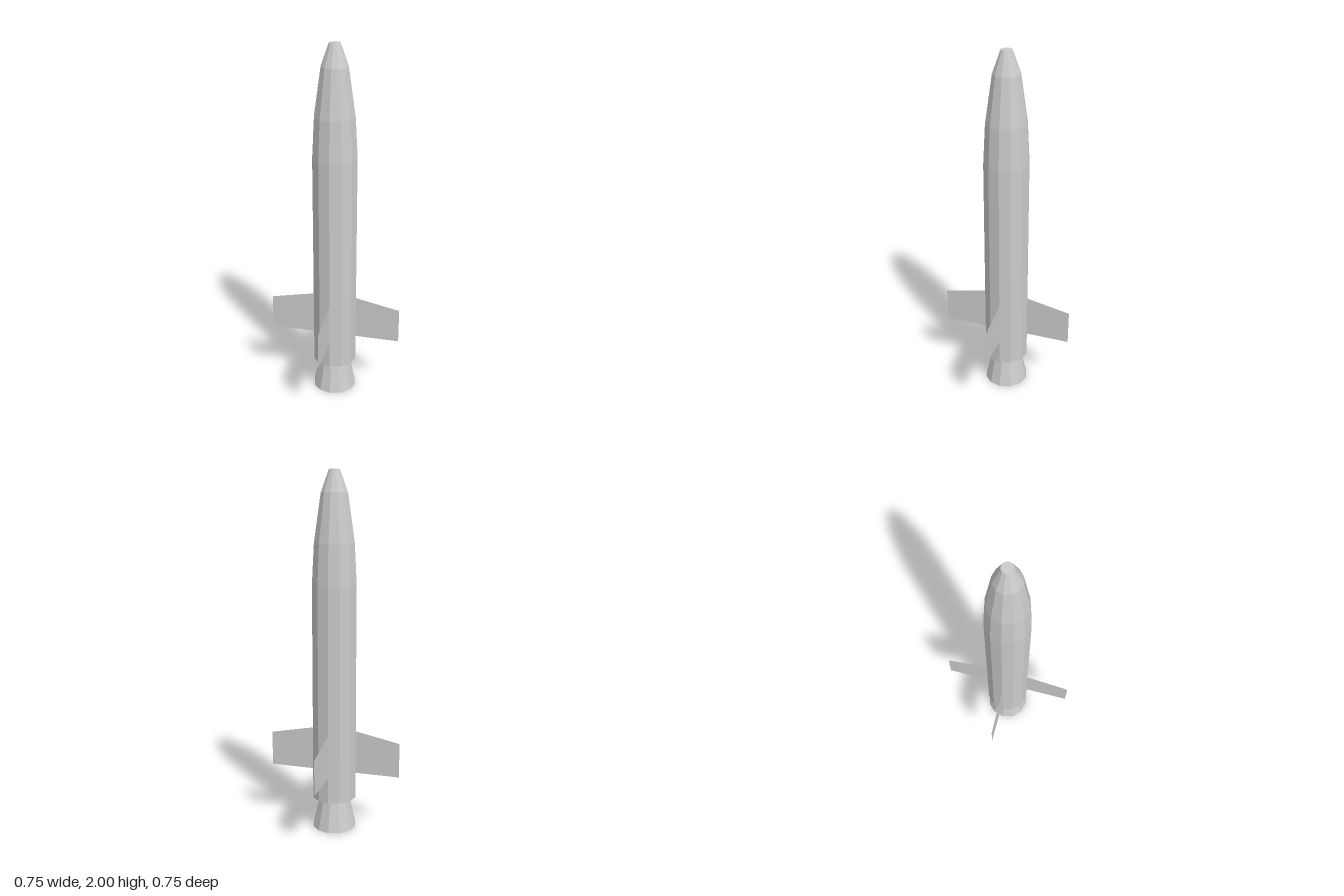
import * as THREE from 'three';

const SIDES = 12;
const BODY_RADIUS = 0.124;

const grey = new THREE.MeshStandardMaterial({ color: 0xcccccc, flatShading: true });
const thinGrey = new THREE.MeshStandardMaterial({
  color: 0xcccccc, flatShading: true, side: THREE.DoubleSide,
});

// Faceted solid of revolution from [radius, height] pairs, bottom to top
function turned(name, profile) {
  const points = profile.map(([r, y]) => new THREE.Vector2(r, y));
  const mesh = new THREE.Mesh(new THREE.LatheGeometry(points, SIDES), grey);
  mesh.name = name;
  return mesh;
}

export function createModel() {
  const rocket = new THREE.Group();
  rocket.name = 'rocket';

  // Straight hull, open at the top where the nose continues it
  rocket.add(turned('body', [[0, 0.18], [BODY_RADIUS, 0.18], [BODY_RADIUS, 1.4]]));

  // Nose tapering in three steps to a blunt tip
  rocket.add(turned('nose', [
    [BODY_RADIUS, 1.4], [0.112, 1.62], [0.074, 1.88], [0.03, 2], [0, 2],
  ]));

  // Flared engine nozzle with a closed mouth
  rocket.add(turned('nozzle', [[0, 0], [BODY_RADIUS, 0], [0.085, 0.18]]));

  // Four paper-thin swept fins
  const finShape = new THREE.Shape([
    new THREE.Vector2(BODY_RADIUS, 0.33),
    new THREE.Vector2(0.374, 0.33),
    new THREE.Vector2(0.374, 0.527),
    new THREE.Vector2(BODY_RADIUS, 0.577),
  ]);
  const finGeometry = new THREE.ShapeGeometry(finShape);
  ['leftFin', 'backFin', 'rightFin', 'frontFin'].forEach((name, i) => {
    const fin = new THREE.Mesh(finGeometry, thinGrey);
    fin.name = name;
    fin.rotation.y = i * Math.PI / 2;
    rocket.add(fin);
  });

  return rocket;
}
